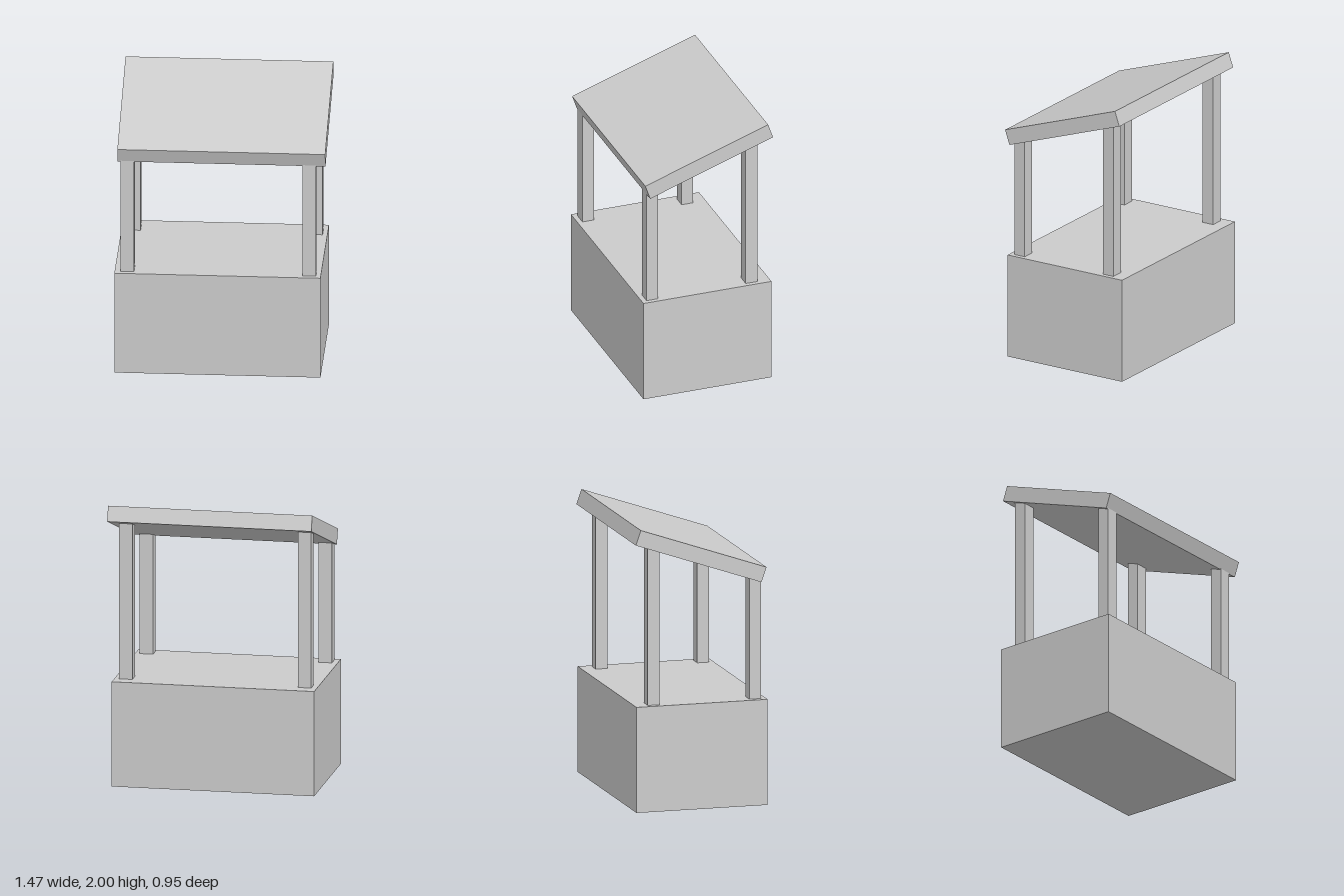
import * as THREE from 'three';

export function createModel() {
  const group = new THREE.Group();
  const material = new THREE.MeshStandardMaterial({ color: 0xcccccc, flatShading: true });

  const addBox = (name, size, position) => {
    const mesh = new THREE.Mesh(new THREE.BoxGeometry(...size), material);
    mesh.name = name;
    mesh.position.set(...position);
    group.add(mesh);
    return mesh;
  };

  // Solid counter, slightly offset from the roof
  const counterTop = 0.75;
  addBox('counter', [1.435, counterTop, 0.95], [-0.017, counterTop / 2, 0]);

  // Square posts, ending just inside the sloping roof
  const postRows = [
    { row: 'front', z: 0.397, top: 1.64 },
    { row: 'back', z: -0.339, top: 1.89 },
  ];
  for (const { row, z, top } of postRows) {
    for (const [side, x] of [['Right', -0.647], ['Left', 0.62]]) {
      const height = top - counterTop;
      addBox(`${row}${side}Post`, [0.095, height, 0.086], [x, counterTop + height / 2, z]);
    }
  }

  // Slab roof, sloping down towards the front
  const roof = addBox('roof', [1.447, 0.111, 0.965], [0.01, 1.79, 0]);
  roof.rotation.x = THREE.MathUtils.degToRad(19.1);

  return group;
}
